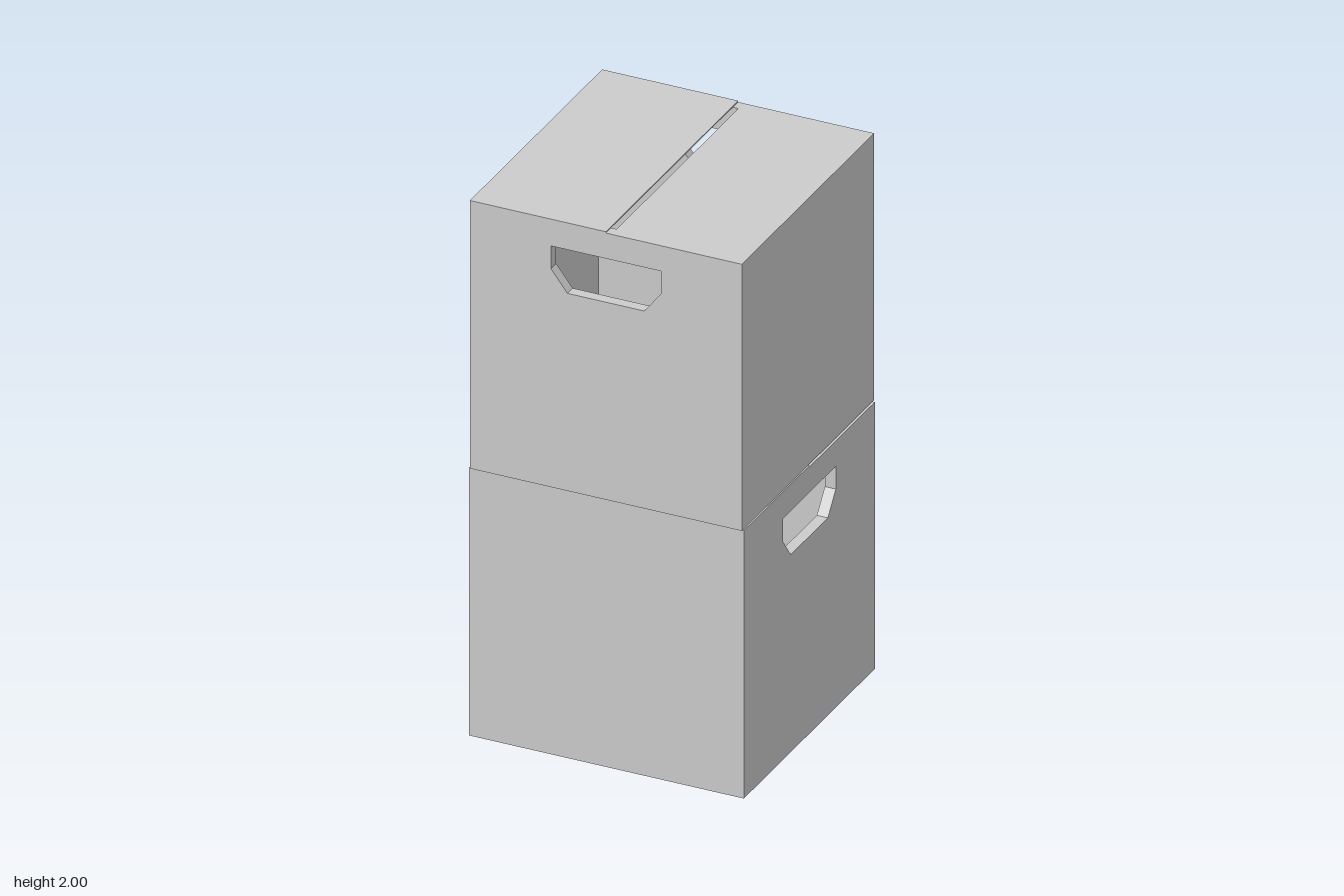
import * as THREE from 'three';

const W = 0.99, D = 1, H = 1;      // outer size of one box
const WALL = 0.04, SHEET = 0.005;  // folded handle wall, single sheet
const material = new THREE.MeshStandardMaterial({ color: 0xcccccc, flatShading: true });

// Box panel given by its minimum and maximum corners
function panel(name, [x0, y0, z0], [x1, y1, z1]) {
  const mesh = new THREE.Mesh(new THREE.BoxGeometry(x1 - x0, y1 - y0, z1 - z0), material);
  mesh.position.set((x0 + x1) / 2, (y0 + y1) / 2, (z0 + z1) / 2);
  mesh.name = name;
  return mesh;
}

// Thick end wall with a chamfered hand hole
function handleWall(name, z) {
  const top = H - SHEET, w = W / 2;
  const points = (list) => list.map(([x, y]) => new THREE.Vector2(x, y));
  const shape = new THREE.Shape(points([[-w, 0], [w, 0], [w, top], [-w, top]]));
  shape.holes.push(new THREE.Path(points([
    [-0.2, 0.9], [-0.2, 0.815], [-0.14, 0.737], [0.14, 0.737], [0.2, 0.815], [0.2, 0.9],
  ])));
  const geometry = new THREE.ExtrudeGeometry(shape, { depth: WALL, bevelEnabled: false });
  const mesh = new THREE.Mesh(geometry, material);
  mesh.position.z = z;
  mesh.name = name;
  return mesh;
}

// Hollow carton: two handle walls, two side sheets, floor and two top flaps
function carton(name) {
  const box = new THREE.Group();
  box.name = name;
  const w = W / 2, d = D / 2, inner = d - WALL, top = H - SHEET;
  box.add(
    handleWall('frontHandleWall', inner),
    handleWall('backHandleWall', -d),
    panel('leftSide', [w - SHEET, 0, -inner], [w, top - SHEET, inner]),
    panel('rightSide', [-w, 0, -inner], [-w + SHEET, top, inner]),
    panel('floor', [-w + SHEET, 0, -inner], [w - SHEET, SHEET, inner]),
    // the upper flap rests on the wall tops, the lower flap sits flush between them
    panel('upperFlap', [-w, top, -d], [0, H, d]),
    panel('lowerFlap', [0.02, top - SHEET, -inner], [w, top, inner]),
  );
  return box;
}

export function createModel() {
  const model = new THREE.Group();
  model.name = 'stackedCartons';
  // lower carton is turned a quarter so its hand holes face the sides
  const lower = carton('lowerCarton');
  lower.rotation.y = Math.PI / 2;
  const upper = carton('upperCarton');
  upper.position.y = H;
  model.add(lower, upper);
  return model;
}
